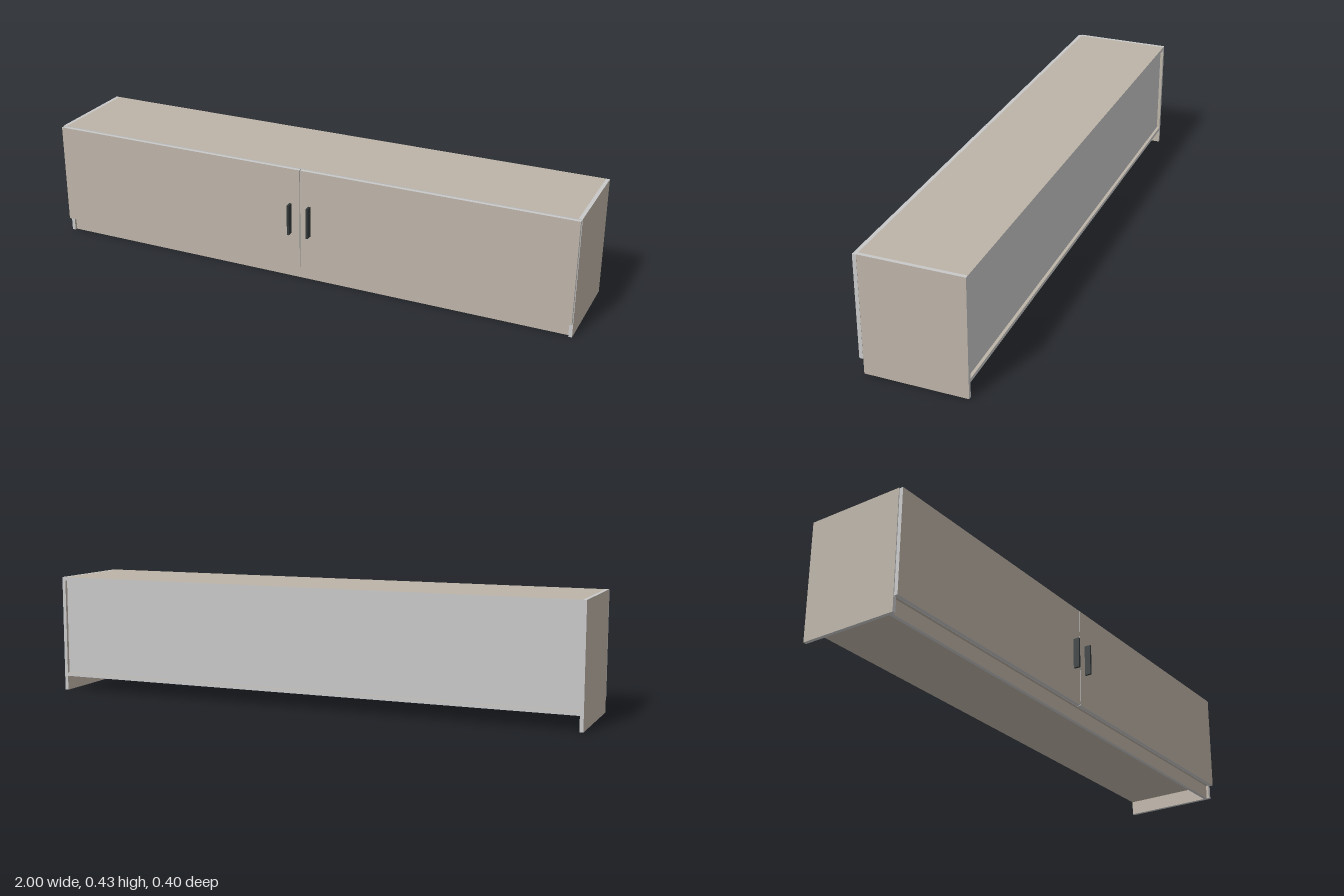
import * as THREE from 'three';

export function createModel() {
  const group = new THREE.Group();
  group.name = 'lowCabinet';

  const makeMaterial = (name, color) => {
    const m = new THREE.MeshStandardMaterial({ color });
    m.name = name;
    return m;
  };
  const board = makeMaterial('beige board', 0xbdb4a8);
  const edge = makeMaterial('grey edging', 0xc8c8c8);
  const metal = makeMaterial('dark handle', 0x353a3a);

  // Box given by its min and max corners
  const box = (name, [x0, y0, z0], [x1, y1, z1], material) => {
    const mesh = new THREE.Mesh(new THREE.BoxGeometry(x1 - x0, y1 - y0, z1 - z0), material);
    mesh.position.set((x0 + x1) / 2, (y0 + y1) / 2, (z0 + z1) / 2);
    mesh.name = name;
    group.add(mesh);
  };
  // Board: beige on the two faces across the given axis (0 x, 1 y, 2 z), grey on its edges
  const panel = (name, min, max, axis) =>
    box(name, min, max, Array.from({ length: 6 }, (_, i) => (Math.floor(i / 2) === axis ? board : edge)));

  const T = 0.013; // board thickness
  const H = 0.434; // height
  const back = -0.2, front = 0.162;
  const inner = 1 - T;

  // Carcass
  panel('leftSide', [inner, 0, back], [1, H, front], 0);
  panel('rightSide', [-1, 0, back], [-inner, H, front], 0);
  panel('topPanel', [-inner, H - T, back], [inner, H, front], 1);
  panel('bottomPanel', [-inner, 0.054, back], [inner, 0.054 + T, front], 1);
  panel('plinth', [-inner, 0, front - 0.01 - T], [inner, 0.054, front - 0.01], 2);
  box('backPanel', [-inner, 0.054 + T, back + 0.011], [inner, H - T, back + 0.016], edge);

  // Doors and handles, mirrored about the middle
  for (const [side, s] of [['left', 1], ['right', -1]]) {
    const span = (a, b) => (s > 0 ? [a, b] : [-b, -a]);
    const [d0, d1] = span(0.0015, 0.9985);
    panel(side + 'Door', [d0, 0.054, 0.1635], [d1, 0.432, 0.177], 2);
    const [h0, h1] = span(0.033, 0.041);
    box(side + 'Handle', [h0, 0.185, 0.177], [h1, 0.3, 0.2], metal);
  }
  return group;
}
